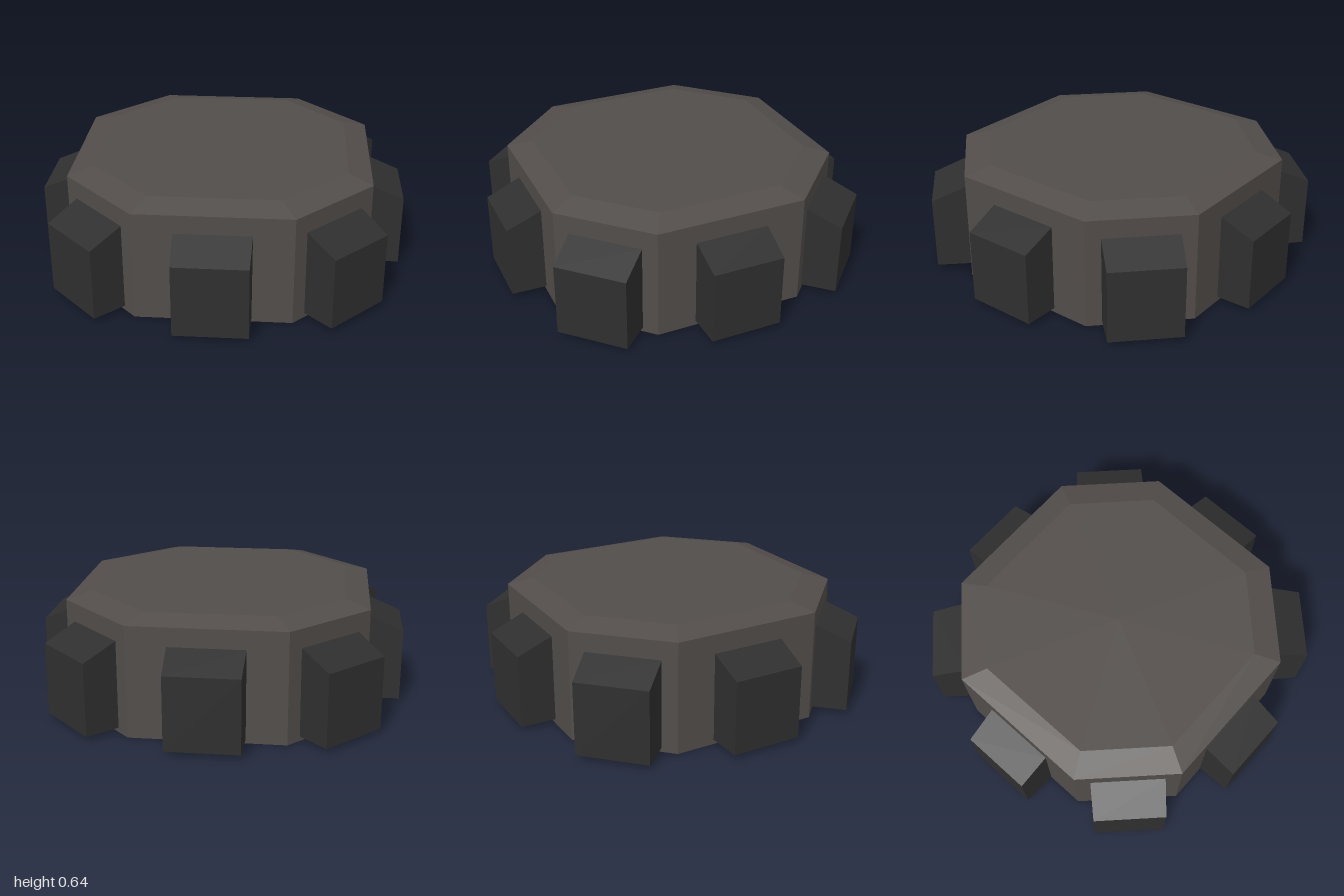
import * as THREE from 'three';

// Chamfered-square octagon ring: a = flat distance, b = half length of the flat
function ring(a, b, y) {
  return [[a, b], [b, a], [-b, a], [-a, b], [-a, -b], [-b, -a], [b, -a], [a, -b]]
    .map(([x, z]) => [x, y, z]);
}

// Skin a stack of rings and close both ends
function loft(rings) {
  const pos = [];
  const tri = (...pts) => pts.forEach((p) => pos.push(...p));
  const n = rings[0].length;
  const top = rings[rings.length - 1];
  for (let i = 0; i < n; i++) {
    const j = (i + 1) % n;
    for (let k = 0; k < rings.length - 1; k++) {
      const lo = rings[k], hi = rings[k + 1];
      tri(lo[i], hi[i], lo[j]);
      tri(hi[i], hi[j], lo[j]);
    }
    tri([0, top[0][1], 0], top[j], top[i]);
    tri([0, rings[0][0][1], 0], rings[0][i], rings[0][j]);
  }
  const geo = new THREE.BufferGeometry();
  geo.setAttribute('position', new THREE.Float32BufferAttribute(pos, 3));
  geo.computeVertexNormals();
  return geo;
}

// Block with a sloped top, narrowing slightly towards its outer face
function blockGeometry(flat) {
  const inner = flat - 0.06, outer = flat + 0.19;
  const profile = new THREE.Shape([
    new THREE.Vector2(inner, 0.025),
    new THREE.Vector2(outer, 0.025),
    new THREE.Vector2(outer, 0.423),
    new THREE.Vector2(flat, 0.503),
    new THREE.Vector2(inner, 0.503),
  ]);
  const geo = new THREE.ExtrudeGeometry(profile, { depth: 0.4, bevelEnabled: false });
  geo.translate(0, 0, -0.2);
  const p = geo.attributes.position;
  for (let i = 0; i < p.count; i++) {
    if (p.getX(i) > flat + 0.1) p.setZ(i, p.getZ(i) * 0.97);
  }
  geo.computeVertexNormals();
  return geo;
}

export function createModel() {
  const model = new THREE.Group();
  const bodyGrey = new THREE.MeshStandardMaterial({ color: 0x524d4a });
  bodyGrey.name = 'warm grey';
  const blockGrey = new THREE.MeshStandardMaterial({ color: 0x2f2f2f });
  blockGrey.name = 'dark grey';

  // Octagonal body with a bevelled top
  const body = new THREE.Mesh(
    loft([ring(0.81, 0.41, 0), ring(0.81, 0.41, 0.605), ring(0.68, 0.34, 0.642)]), bodyGrey);
  body.name = 'body';
  model.add(body);

  // One block on each of the eight sides; diagonal sides lie further out
  const diagonal = (0.81 + 0.41) / Math.SQRT2;
  const geometries = [blockGeometry(0.81), blockGeometry(diagonal)];
  for (let i = 0; i < 8; i++) {
    const block = new THREE.Mesh(geometries[i % 2], blockGrey);
    block.name = 'sideBlock' + (i + 1);
    block.rotation.y = (i * Math.PI) / 4;
    model.add(block);
  }
  return model;
}
